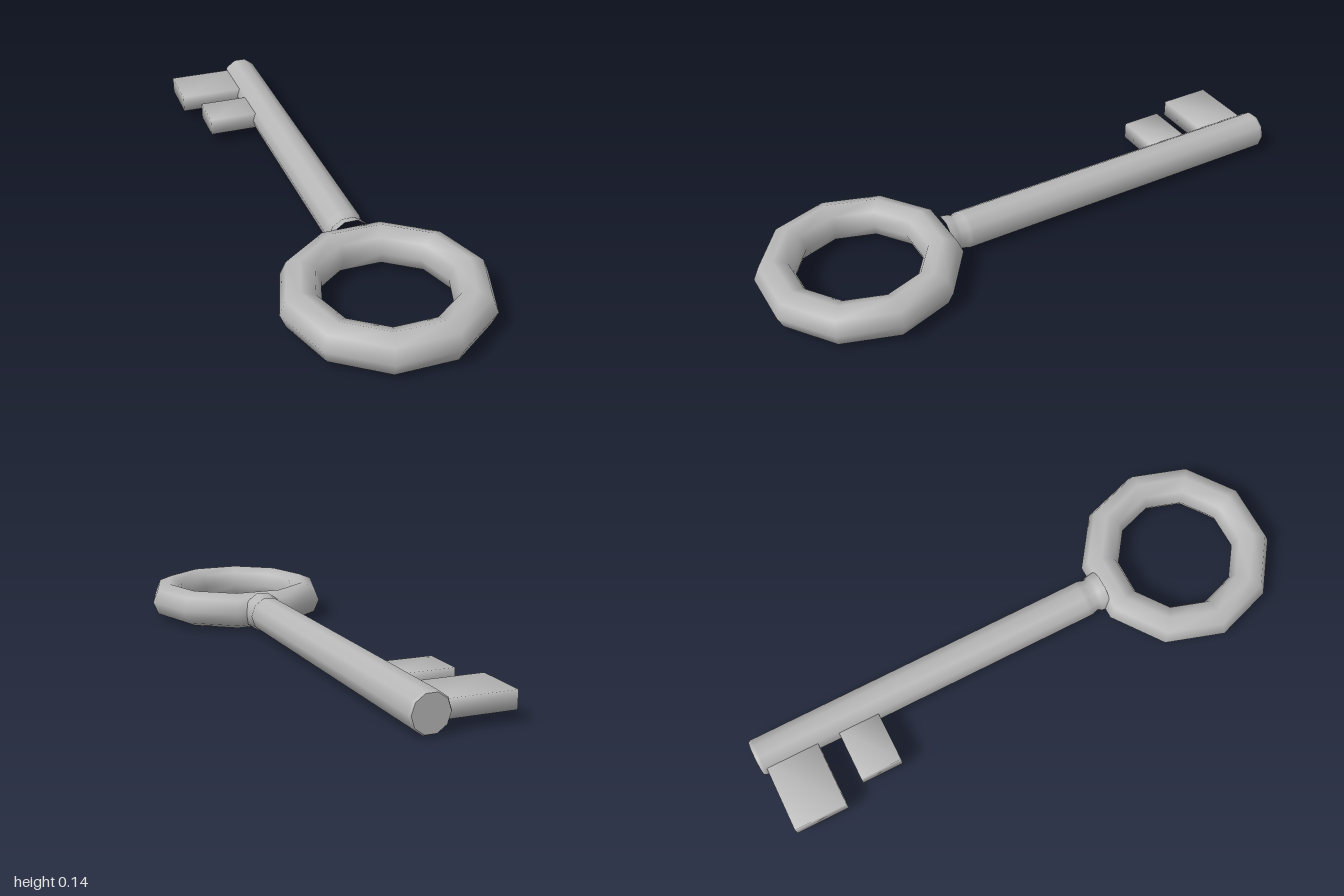
import * as THREE from 'three';
import { mergeVertices } from 'three/addons/utils/BufferGeometryUtils.js';

const CENTER_Y = 0.07;

export function createModel() {
  const key = new THREE.Group();
  key.name = 'key';
  const metal = new THREE.MeshStandardMaterial({ color: 0xb8b8b8 });
  metal.name = 'grey metal';

  const add = (name, geometry, x, y, z) => {
    const mesh = new THREE.Mesh(geometry, metal);
    mesh.name = name;
    mesh.position.set(x, y, z);
    key.add(mesh);
  };

  // Ten-sided ring handle lying flat
  add('ringHandle', new THREE.TorusGeometry(0.281, 0.069, 8, 10).rotateX(Math.PI / 2), 0, CENTER_Y, 0.667);

  // Shaft with a narrow neck at the ring and a small bevel at the tip
  const profile = [
    [0.075, -0.355], [0.07, -0.325], [0.061, -0.31], [0.069, -0.285],
    [0.069, -0.27], [0.069, 0.985], [0.069, 0.992], [0.064, 1],
  ].map(([r, y]) => new THREE.Vector2(r, y));
  const shaft = new THREE.LatheGeometry(profile, 10, Math.PI / 2).rotateX(-Math.PI / 2);
  add('shaft', shaft, 0, CENTER_Y, 0);

  // Flat cap closing the tip
  add('shaftTip', new THREE.CircleGeometry(0.064, 10).rotateY(Math.PI), 0, CENTER_Y, -1);

  // Two softly shaded teeth on one side of the shaft
  const addTooth = (name, outerX, zBack, zFront) => {
    const innerX = -0.045;
    const box = new THREE.BoxGeometry(innerX - outerX, 0.062, zFront - zBack);
    box.deleteAttribute('normal');
    box.deleteAttribute('uv');
    const tooth = mergeVertices(box);
    tooth.computeVertexNormals();
    add(name, tooth, (innerX + outerX) / 2, CENTER_Y, (zBack + zFront) / 2);
  };
  addTooth('longTooth', -0.295, -0.98, -0.79);
  addTooth('shortTooth', -0.24, -0.71, -0.56);

  return key;
}
